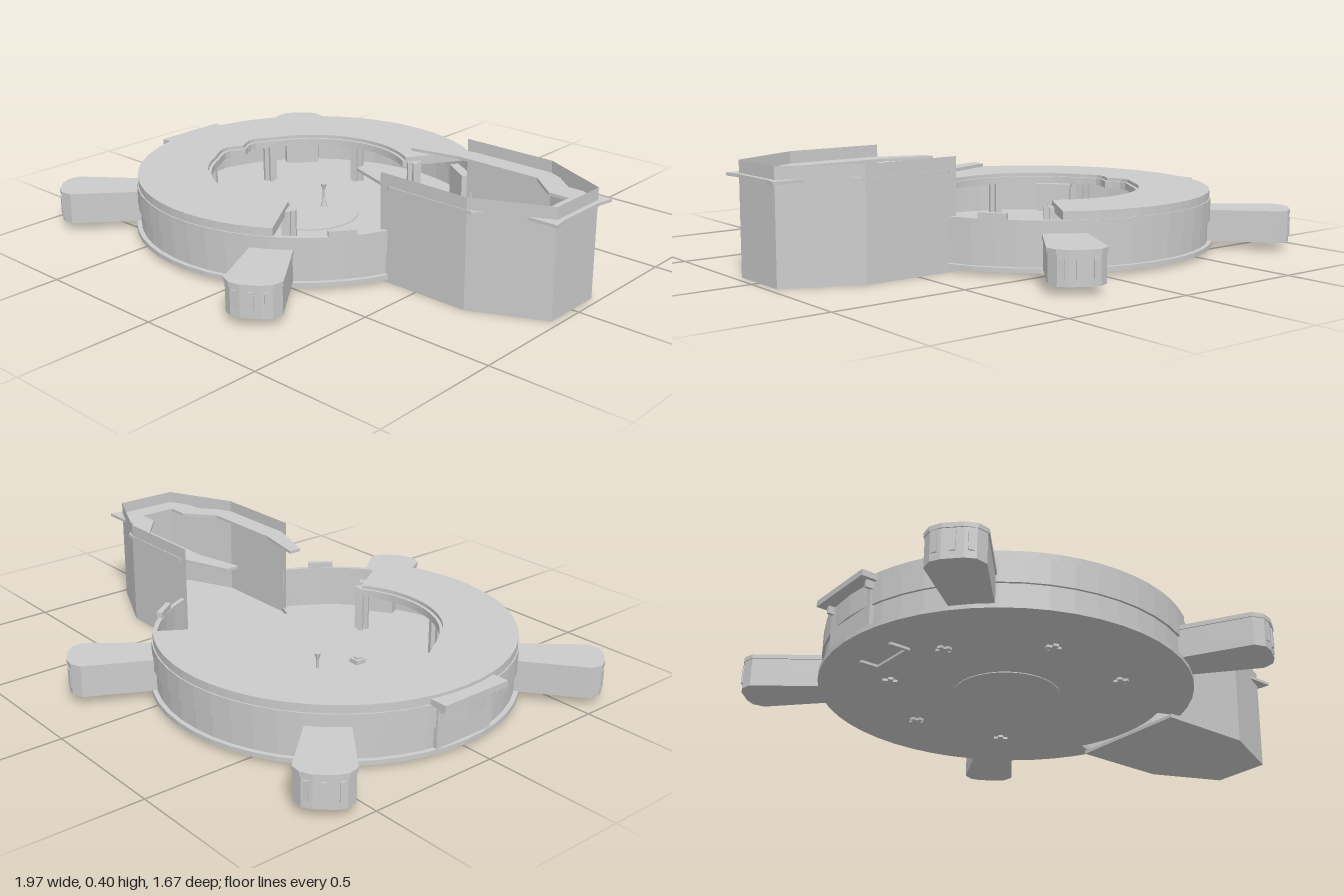
import * as THREE from 'three';

const CX = -0.235; // centre of the round hall
const rad = THREE.MathUtils.degToRad;

export function createModel() {
  const model = new THREE.Group();
  const mat = new THREE.MeshStandardMaterial({ color: 0xcccccc, flatShading: true, side: THREE.DoubleSide });

  const add = (name, geo, x = 0, y = 0, z = 0, parent = model) => {
    const mesh = new THREE.Mesh(geo, mat);
    mesh.name = name;
    mesh.position.set(x, y, z);
    parent.add(mesh);
    return mesh;
  };
  const toPath = (pts) => pts.map(([x, y]) => new THREE.Vector2(x, y));
  // Horizontal plate between two heights, from an outline in the ground plane
  const slab = (outline, y0, y1, hole) => {
    const shape = new THREE.Shape(toPath(outline));
    if (hole) shape.holes.push(new THREE.Path(toPath(hole)));
    return new THREE.ExtrudeGeometry(shape, { depth: y1 - y0, bevelEnabled: false })
      .rotateX(-Math.PI / 2).translate(0, y0, 0);
  };
  const arc = (r, from, to, n) => Array.from({ length: n + 1 }, (_, i) => {
    const a = rad(from + (to - from) * i / n);
    const rr = typeof r === 'function' ? r(from + (to - from) * i / n) : r;
    return [rr * Math.cos(a), rr * Math.sin(a)];
  });
  const mirror = (half) => [...half, ...half.map(([x, z]) => [x, -z]).reverse()];
  // Open wall around the hall, leaving a gap of the given half angle towards +x
  const ringWall = (r, y0, y1, gap) => new THREE.CylinderGeometry(
    r, r, y1 - y0, 44, 1, true, rad(90 + gap), rad(360 - 2 * gap)).translate(0, (y0 + y1) / 2, 0);

  // Round hall: floor, walls and horseshoe roof
  add('floor', slab([...arc(0.665, 22, 338, 44), ...arc(0.575, -22, 22, 8)], 0.015, 0.032), CX);
  add('lowerWall', ringWall(0.648, 0.03, 0.11, 22), CX);
  add('upperWall', slab([...arc(0.657, 22, 338, 44), ...arc(0.64, 338, 22, 44)], 0.11, 0.195), CX);

  // Inner edge of the roof bulges outwards at the rear, with a small notch
  const innerEdge = (offset) => (deg) => {
    const d = Math.abs(deg - 180);
    return 0.375 + offset + (d < 25 ? 0.02 * (1 - Math.abs(d - 12) / 13) - (d < 8 ? 0.02 * (1 - d / 8) : 0) : 0);
  };
  add('roof', slab([...arc(0.652, 57, 303, 40), ...arc(innerEdge(0.012), 303, 57, 60)], 0.19, 0.225), CX);
  add('roofLip', slab([...arc(innerEdge(0.012), 57, 303, 60), ...arc(innerEdge(0), 303, 57, 60)], 0.185, 0.212), CX);

  // Centre of the floor
  add('centreDisc', new THREE.CylinderGeometry(0.19, 0.19, 0.024, 32), CX, 0.024, 0);
  const pole = [[0, 0], [0.014, 0], [0.005, 0.035], [0.005, 0.07], [0.012, 0.095], [0, 0.095]];
  add('pedestal', new THREE.LatheGeometry(toPath(pole), 8), CX, 0.035, -0.08);
  add('floorBox', new THREE.BoxGeometry(0.042, 0.02, 0.042), CX, 0.043, 0.115);
  add('floorBoxTop', new THREE.BoxGeometry(0.022, 0.012, 0.022), CX, 0.054, 0.115);

  // Cross-shaped columns, with feet showing below the floor
  for (const deg of [56, 106, 157, -56, -106, -157]) {
    const column = new THREE.Group();
    column.name = 'column';
    column.position.set(CX + 0.42 * Math.cos(rad(deg)), 0, 0.42 * Math.sin(rad(deg)));
    column.rotation.y = -rad(deg);
    add('columnWeb', new THREE.BoxGeometry(0.052, 0.2, 0.018), 0, 0.106, 0, column);
    add('columnWeb', new THREE.BoxGeometry(0.018, 0.2, 0.052), 0, 0.106, 0, column);
    model.add(column);
  }

  // Four flared docking arms with rounded ends and slit windows
  const armOutline = (g) => [[0.6, -0.072 - g], [0.905, -0.1 - g], [0.94, -0.075 - g], [0.955 + g, -0.035],
    [0.955 + g, 0.035], [0.94, 0.075 + g], [0.905, 0.1 + g], [0.6, 0.072 + g]];
  for (const deg of [57.5, -57.5, 137, -137]) {
    const arm = new THREE.Group();
    arm.name = 'arm';
    arm.position.x = CX;
    arm.rotation.y = rad(deg);
    add('armBody', slab(armOutline(-0.004), 0.03, 0.134), 0, 0, 0, arm);
    add('armRoof', slab(armOutline(0), 0.134, 0.15), 0, 0, 0, arm);
    for (const s of [-1, 0, 1]) {
      const win = add('slitWindow', new THREE.BoxGeometry(0.008, 0.068, 0.02),
        s ? 0.945 : 0.952, 0.09, s * 0.056, arm);
      win.rotation.y = -s * 0.4;
    }
    model.add(arm);
  }

  // Rear doorway: awning, door panel and step
  add('awning', new THREE.BoxGeometry(0.085, 0.022, 0.29), -0.8925, 0.203, -0.005);
  add('doorPanel', new THREE.BoxGeometry(0.02, 0.165, 0.25), -0.875, 0.11, -0.005);
  for (const s of [-1, 1]) {
    add('awningBracket', new THREE.BoxGeometry(0.03, 0.03, 0.012), -0.892, 0.18, s * 0.12);
    add('stepSide', new THREE.BoxGeometry(0.07, 0.012, 0.012), -0.75, 0.012, s * 0.09);
    // Small block on top of each wall near the long hall
    const block = add('wallBlock', new THREE.BoxGeometry(0.02, 0.022, 0.1),
      CX + 0.65 * Math.cos(rad(36)), 0.206, s * 0.65 * Math.sin(rad(36)));
    block.rotation.y = -s * rad(36);
  }
  add('stepEdge', new THREE.BoxGeometry(0.012, 0.012, 0.19), -0.715, 0.012, 0);

  // Long hall: floor, thin walls and a ledge plate with a stepped opening
  const hall = mirror([[0.34, 0.243], [0.707, 0.243], [0.972, 0.12]]);
  add('longHallFloor', slab(hall, 0, 0.012));
  for (let i = 0; i < hall.length - 1; i++) {
    const [x0, z0] = hall[i], [x1, z1] = hall[i + 1];
    const wall = add('longHallWall', new THREE.PlaneGeometry(Math.hypot(x1 - x0, z1 - z0), 0.4),
      (x0 + x1) / 2, 0.2, (z0 + z1) / 2);
    wall.rotation.y = -Math.atan2(z1 - z0, x1 - x0);
  }
  const ledgeOuter = [[0.17, 0.175], [0.3, 0.245], [0.727, 0.245], [0.83, 0.16], [1, 0.16], [0.99, 0.1]];
  const ledgeInner = [[0.17, 0.125], [0.36, 0.165], [0.7, 0.165], [0.81, 0.072], [0.89, 0.072]];
  ledgeOuter[1] = [0.38, 0.247];
  add('ledge', slab([...mirror(ledgeOuter), ...mirror(ledgeInner.slice()).reverse()
    .map(([x, z]) => [x, z])], 0.345, 0.356));
  return model;
}
